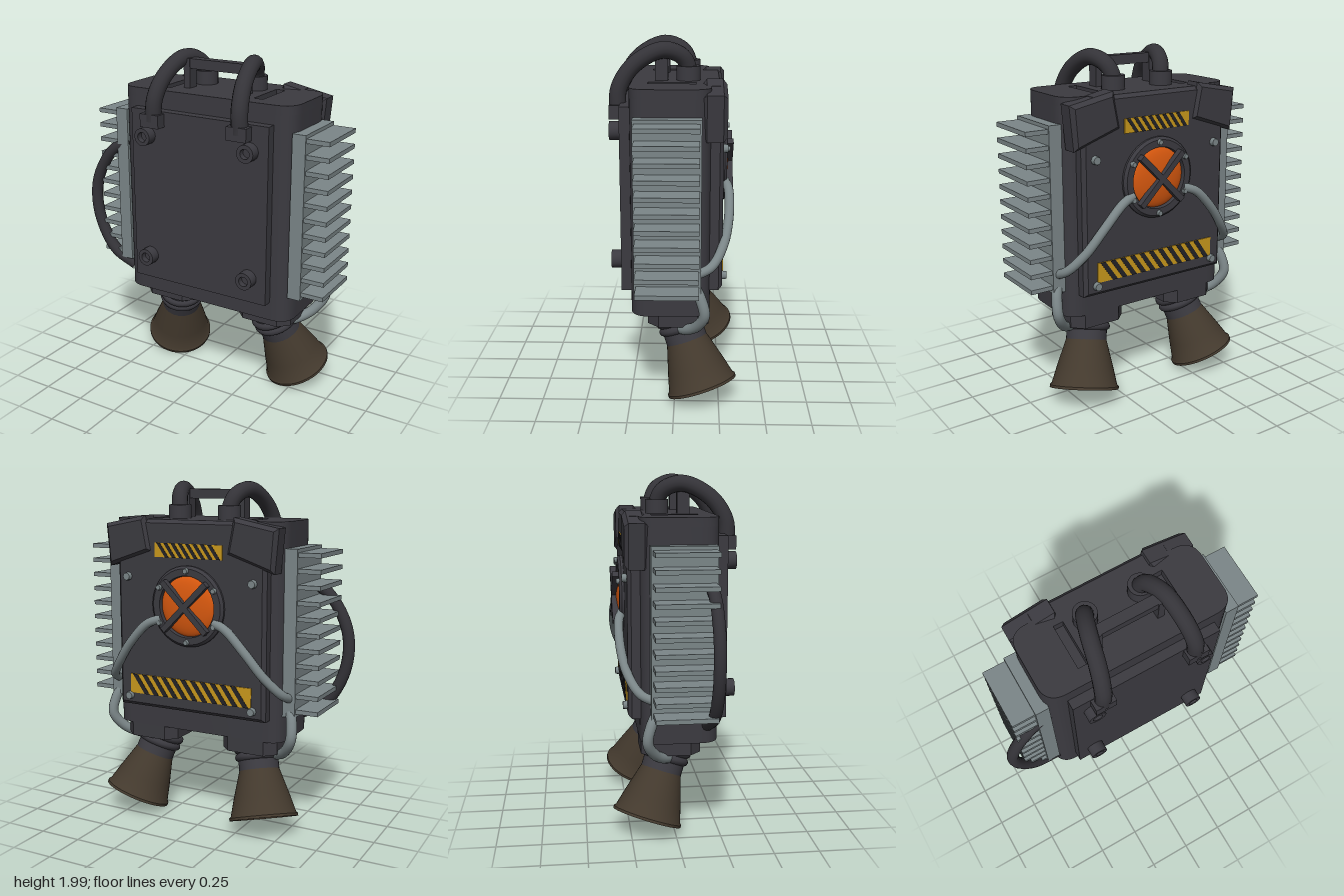
import * as THREE from 'three';
import { toCreasedNormals } from 'three/addons/utils/BufferGeometryUtils.js';

const mat = (name, color, side = THREE.FrontSide) => {
  const m = new THREE.MeshStandardMaterial({ color, side });
  m.name = name;
  return m;
};

export function createModel() {
  const shell = mat('charcoal shell', 0x3b3a40);
  const rubber = mat('dark rubber', 0x343338);
  const steel = mat('grey steel', 0x7b8688);
  const bronze = mat('burnt bronze', 0x43392d, THREE.DoubleSide);
  const glow = mat('orange glow', 0xd9590f);
  const yellow = mat('hazard yellow', 0xc9981c);
  const black = mat('hazard black', 0x222226);

  const root = new THREE.Group();
  root.name = 'jetPack';
  const pack = new THREE.Group();
  pack.name = 'pack';
  pack.position.x = 0.045;
  root.add(pack);

  const add = (name, geo, material, x = 0, y = 0, z = 0, parent = pack) => {
    const m = new THREE.Mesh(geo, material);
    m.name = name;
    m.position.set(x, y, z);
    parent.add(m);
    return m;
  };
  // Box given by its limits on each axis
  const box = (name, material, [x0, x1], [y0, y1], [z0, z1], parent = pack) =>
    add(name, new THREE.BoxGeometry(Math.abs(x1 - x0), y1 - y0, z1 - z0), material,
      (x0 + x1) / 2, (y0 + y1) / 2, (z0 + z1) / 2, parent);
  const tube = (name, material, points, r) => {
    const curve = new THREE.CatmullRomCurve3(points.map(p => new THREE.Vector3(...p)));
    return add(name, new THREE.TubeGeometry(curve, 40, r, 14), material);
  };
  const lathe = (points, segments = 32) => toCreasedNormals(
    new THREE.LatheGeometry(points.map(p => new THREE.Vector2(...p)), segments), 0.6);

  // Rounded rectangle in x and z, extruded upwards
  const slab = (w, d, h, r, segs, holes = []) => {
    const s = new THREE.Shape();
    const a = w / 2, b = d / 2;
    s.moveTo(-a + r, -b).lineTo(a - r, -b).quadraticCurveTo(a, -b, a, -b + r)
      .lineTo(a, b - r).quadraticCurveTo(a, b, a - r, b)
      .lineTo(-a + r, b).quadraticCurveTo(-a, b, -a, b - r)
      .lineTo(-a, -b + r).quadraticCurveTo(-a, -b, -a + r, -b);
    for (const [x0, x1, y0, y1] of holes) {
      s.holes.push(new THREE.Path().moveTo(x0, y0).lineTo(x0, y1).lineTo(x1, y1).lineTo(x1, y0).closePath());
    }
    const g = new THREE.ExtrudeGeometry(s, { depth: h, bevelEnabled: false, curveSegments: segs });
    return toCreasedNormals(g.rotateX(-Math.PI / 2), 0.5);
  };

  // Main body with two slots in its top
  add('body', slab(1.09, 0.43, 1.18, 0.11, 10), shell, 0, 0.56, 0.02);
  add('bodyTop', slab(1.09, 0.43, 0.05, 0.11, 10,
    [[-0.32, -0.265, -0.125, 0.135], [0.265, 0.32, -0.125, 0.135]]), shell, 0, 1.74, 0.02);
  box('frontPlate', shell, [-0.435, 0.435], [0.67, 1.685], [0.22, 0.29]);

  // Carrying handle
  box('handleBar', shell, [-0.19, 0.19], [1.9, 1.955], [0.045, 0.105]);

  for (const s of [-1, 1]) {
    const side = s > 0 ? 'left' : 'right';
    box(side + 'HandlePost', shell, [s * 0.16, s * 0.2], [1.78, 1.955], [0.04, 0.11]);

    // Front bolts with hollow heads
    for (const y of [0.815, 1.54]) {
      add(side + 'FrontBolt', lathe([[0.05, 0], [0.05, 0.065], [0.028, 0.065], [0.028, 0.03], [0, 0.03]], 20),
        shell, s * 0.327, y, 0.285).rotation.x = Math.PI / 2;
    }

    // Hose arching from the front plate over to the top
    tube(side + 'TopHose', rubber, [[s * 0.275, 1.63, 0.31], [s * 0.267, 1.76, 0.3], [s * 0.247, 1.88, 0.22],
      [s * 0.215, 1.955, 0.07], [s * 0.18, 1.92, -0.035], [s * 0.16, 1.85, -0.07], [s * 0.16, 1.78, -0.07]], 0.046);
    box(side + 'HoseClamp', shell, [s * 0.215, s * 0.335], [1.6, 1.675], [0.28, 0.352]);
    add(side + 'HoseSocket', new THREE.CylinderGeometry(0.065, 0.065, 0.085, 24), shell, s * 0.16, 1.825, -0.07);

    // Heat sink
    box(side + 'HeatSinkBase', steel, [s * 0.53, s * 0.607], [0.71, 1.647], [-0.145, 0.21]);
    for (let i = 0; i < 11; i++) {
      const y = 0.745 + i * 0.087;
      box(side + 'CoolingFin', steel, [s * 0.6, s * 0.738], [y - 0.0125, y + 0.0125], [-0.135, 0.2]);
    }

    // Chamfered mount under the body
    add(side + 'NozzleMount', slab(0.343, 0.335, 0.09, 0.06, 1), shell, s * 0.325, 0.475, -0.022);

    // Splayed nozzle, built along its own downward axis
    const nozzle = new THREE.Group();
    nozzle.name = side + 'Nozzle';
    nozzle.position.set(s * 0.32, 0.48, -0.02);
    nozzle.quaternion.setFromUnitVectors(new THREE.Vector3(0, -1, 0),
      new THREE.Vector3(s * 0.115, -0.395, -0.14).normalize());
    pack.add(nozzle);
    add('nozzleNeck', new THREE.CylinderGeometry(0.118, 0.118, 0.2, 32), shell, 0, -0.05, 0, nozzle);
    for (const [y, r] of [[-0.025, 0.115], [-0.07, 0.112]]) {
      add('neckRing', new THREE.TorusGeometry(r, 0.024, 10, 32), shell, 0, y, 0, nozzle).rotation.x = Math.PI / 2;
    }
    add('nozzleBell', lathe([[0.185, -0.425], [0.155, -0.32], [0.105, -0.145], [0.115, -0.14],
      [0.165, -0.31], [0.19, -0.405], [0.2, -0.415], [0.2, -0.43], [0.185, -0.43], [0.185, -0.425]], 40),
      bronze, 0, 0, 0, nozzle);
    add('burner', new THREE.CylinderGeometry(0.106, 0.106, 0.008, 32), glow, 0, -0.156, 0, nozzle);

    // Coolant hoses: core to heat sink, heat sink to nozzle
    tube(side + 'CoreHose', steel, [[s * 0.17, 1.23, -0.275], [s * 0.25, 1.2, -0.295], [s * 0.37, 1.08, -0.295],
      [s * 0.47, 0.95, -0.265], [s * 0.55, 0.85, -0.2], [s * 0.57, 0.81, -0.12]], 0.026);
    tube(side + 'NozzleHose', steel, [[s * 0.565, 0.75, -0.11], [s * 0.59, 0.68, -0.145], [s * 0.595, 0.59, -0.165],
      [s * 0.54, 0.5, -0.12], [s * 0.46, 0.45, -0.05], [s * 0.4, 0.44, -0.02]], 0.03);
  }

  // Bowed grab hose on the right side
  tube('sideHose', rubber, [[-0.53, 1.455, 0.17], [-0.66, 1.38, 0.185], [-0.765, 1.22, 0.19], [-0.795, 1.07, 0.19],
    [-0.765, 0.9, 0.19], [-0.67, 0.74, 0.185], [-0.53, 0.66, 0.17]], 0.034);

  // Back assembly: local +z points backwards
  const back = new THREE.Group();
  back.name = 'backAssembly';
  back.rotation.y = Math.PI;
  pack.add(back);

  const polygon = pts => new THREE.Shape(pts.map(p => new THREE.Vector2(...p)));
  const plate = (pts, depth, bevel) => new THREE.ExtrudeGeometry(polygon(pts), {
    depth, bevelEnabled: bevel > 0, bevelThickness: bevel, bevelSize: bevel, bevelOffset: -bevel, bevelSegments: 1 });

  add('backPlate', plate([[-0.475, 0.69], [0.475, 0.69], [0.475, 1.7], [0.4, 1.79], [-0.4, 1.79], [-0.475, 1.7]],
    0.06, 0.02), shell, 0, 0, 0.18, back);

  const padPoints = [[0.24, 1.61], [0.525, 1.515], [0.547, 1.76], [0.28, 1.812]];
  for (const s of [-1, 1]) {
    const pts = padPoints.map(([x, y]) => [s * x, y]);
    add('cornerPad', plate(s > 0 ? pts : pts.reverse(), 0.085, 0.022), shell, 0, 0, 0.17, back);
    for (const y of [0.75, 1.46]) {
      add('backBolt', new THREE.CylinderGeometry(0.022, 0.026, 0.03, 8), steel, s * 0.4, y, 0.27, back)
        .rotation.x = Math.PI / 2;
    }
  }

  // Hazard strips with slanted stripes
  const hazard = (w, h, y, n) => {
    box('hazardStrip', yellow, [-w / 2, w / 2], [y - h / 2, y + h / 2], [0.258, 0.266], back);
    const pitch = (w - h * 0.7) / n, lean = h * 0.7;
    for (let i = 0; i < n; i++) {
      const x = -w / 2 + pitch * (i + 0.25), t = pitch * 0.5;
      add('hazardStripe', plate([[x + lean, -h / 2], [x + lean + t, -h / 2], [x + t, h / 2], [x, h / 2]], 0.003, 0),
        black, 0, y, 0.265, back);
    }
  };
  hazard(0.79, 0.115, 0.825, 11);
  hazard(0.43, 0.08, 1.62, 8);

  // Glowing core with flange, bolts and crossed guard
  const core = new THREE.Group();
  core.name = 'core';
  core.position.set(0, 1.31, 0.255);
  back.add(core);
  add('coreFlange', lathe([[0.23, 0], [0.23, 0.018], [0.215, 0.032], [0.175, 0.032], [0.17, 0]], 40),
    shell, 0, 0, 0, core).rotation.x = Math.PI / 2;
  const dome = add('coreDome', new THREE.SphereGeometry(0.175, 36, 10, 0, Math.PI * 2, 0, Math.PI / 2),
    glow, 0, 0, 0, core);
  dome.scale.y = 0.24;
  dome.rotation.x = Math.PI / 2;
  for (const a of [-1, 1]) {
    add('guardBar', new THREE.BoxGeometry(0.39, 0.034, 0.037), shell, 0, 0, 0.05, core).rotation.z = a * Math.PI / 4;
  }
  for (let i = 0; i < 6; i++) {
    const a = i * Math.PI / 3 + Math.PI / 2;
    add('coreBolt', new THREE.CylinderGeometry(0.014, 0.018, 0.02, 8), steel,
      Math.cos(a) * 0.202, Math.sin(a) * 0.202, 0.038, core).rotation.x = Math.PI / 2;
  }

  return root;
}
